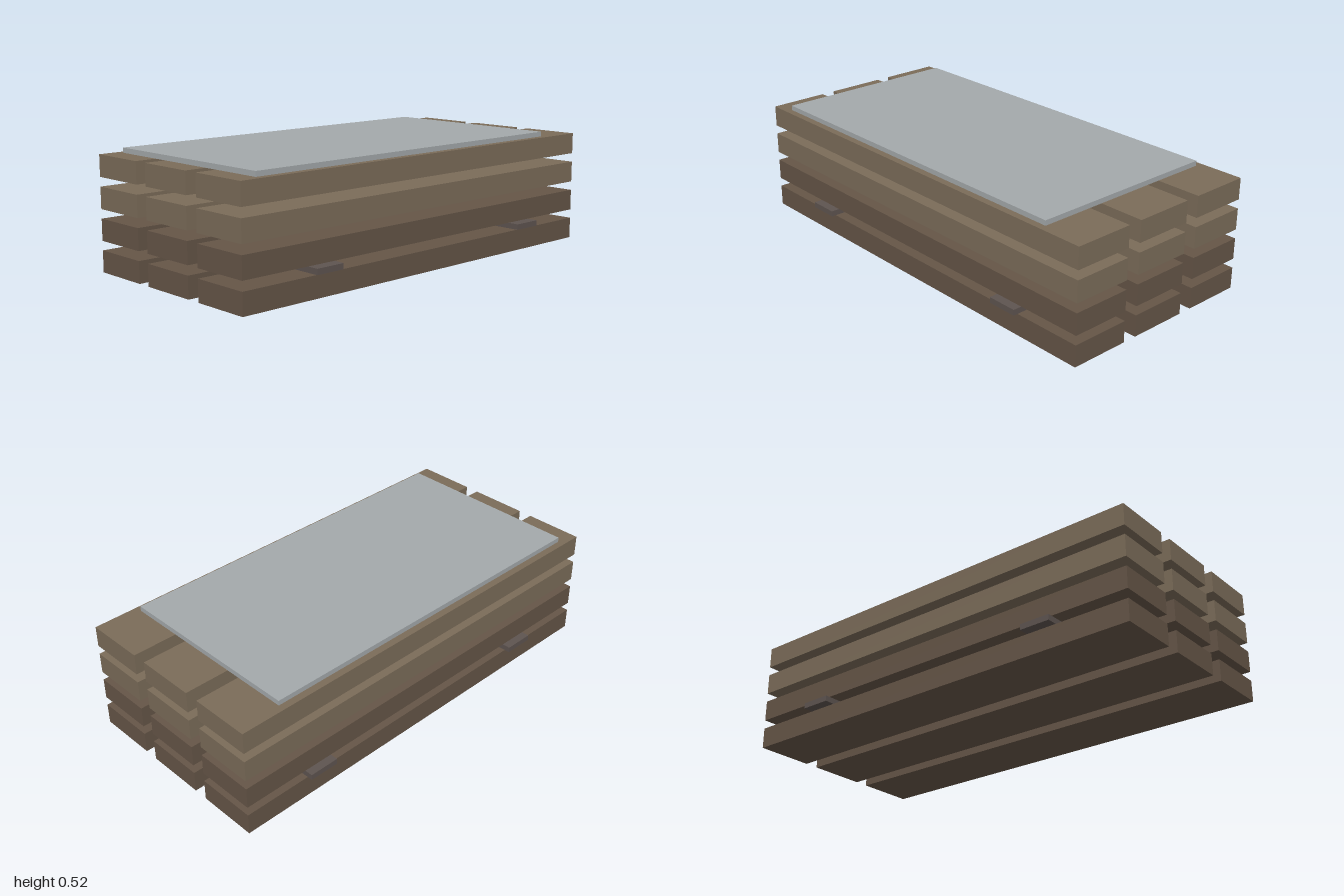
import * as THREE from 'three';

export function createModel() {
  const model = new THREE.Group();
  model.name = 'timberStack';

  const paint = (color) => new THREE.MeshStandardMaterial({ color });
  const darkWood = paint(0x655547);
  const lightWood = paint(0x7b6c59);
  const spacerWood = paint(0x5e5450);
  const sheetGrey = paint(0xa4a9ab);

  // Box given by its centre in x and z and its underside in y
  function addBox(name, [w, h, d], [x, y, z], material) {
    const mesh = new THREE.Mesh(new THREE.BoxGeometry(w, h, d), material);
    mesh.name = name;
    mesh.position.set(x, y + h / 2, z);
    model.add(mesh);
  }

  // Four layers of three beams, the lower two layers darker
  const layerStep = 0.136;
  for (let layer = 0; layer < 4; layer++) {
    for (let row = -1; row <= 1; row++) {
      addBox(`beamLayer${layer + 1}Row${row + 2}`, [2, 0.095, 0.27],
        [0, layer * layerStep, row * 0.334], layer < 2 ? darkWood : lightWood);
    }
  }

  // Cross spacers between the two lowest layers
  addBox('rightSpacer', [0.138, 0.025, 1], [-0.592, 0.104, 0], spacerWood);
  addBox('leftSpacer', [0.138, 0.025, 1], [0.627, 0.104, 0], spacerWood);

  // Cover sheet lying off-centre on top
  addBox('coverSheet', [1.7, 0.022, 0.874], [-0.054, 0.503, 0], sheetGrey);

  return model;
}
